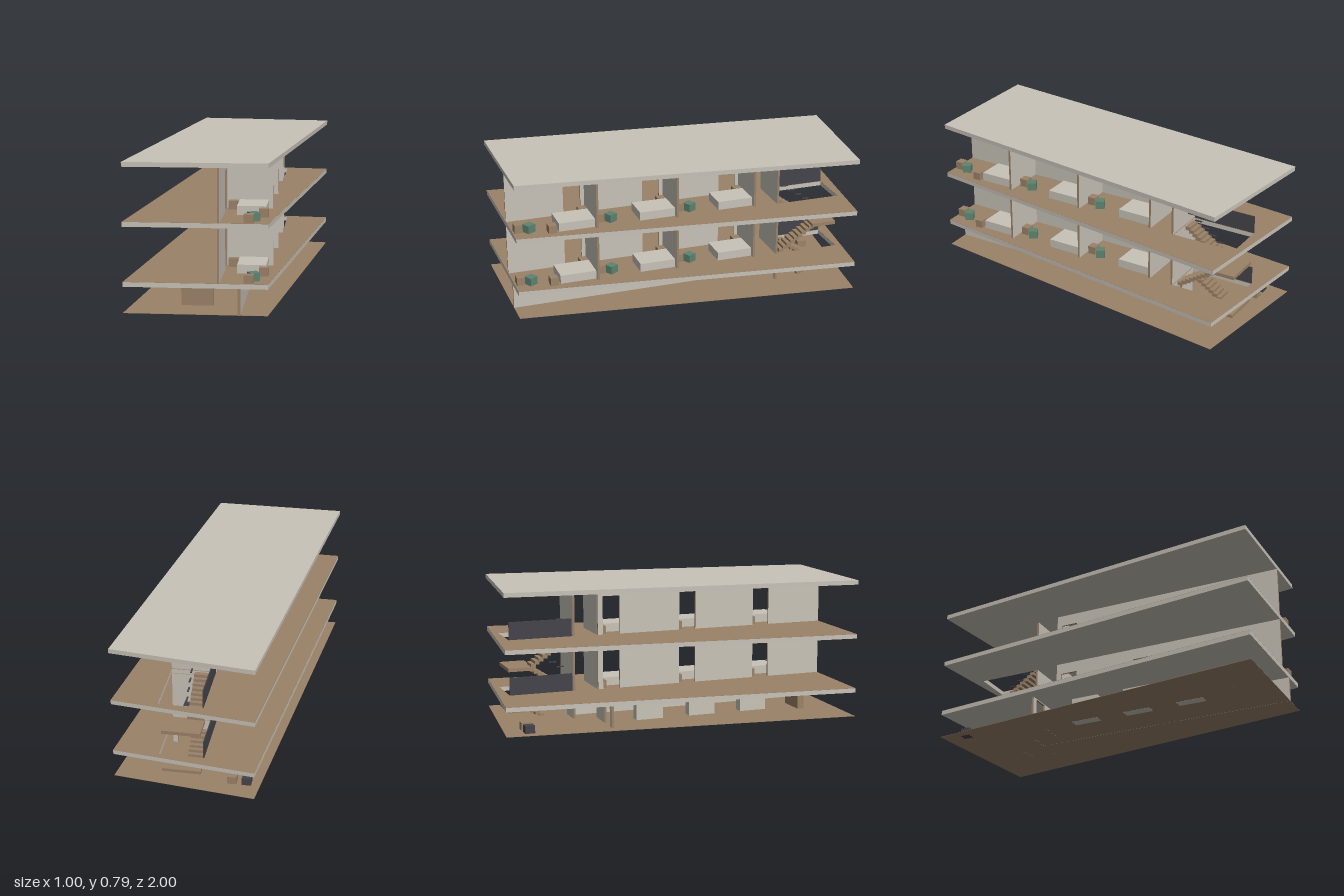
import * as THREE from 'three';

const mat = (name, color) => {
  const m = new THREE.MeshStandardMaterial({ color });
  m.name = name;
  return m;
};

export function createModel() {
  const model = new THREE.Group();
  model.name = 'building';
  const concrete = mat('concrete', 0xc8c3b8);
  const wood = mat('wood', 0x9b8268);
  const dark = mat('charcoal', 0x45444b);
  const green = mat('green', 0x5c8470);

  // Box given by its min and max on each axis
  const box = (name, m, x0, x1, y0, y1, z0, z1, parent = model) => {
    const mesh = new THREE.Mesh(new THREE.BoxGeometry(x1 - x0, y1 - y0, z1 - z0), m);
    mesh.position.set((x0 + x1) / 2, (y0 + y1) / 2, (z0 + z1) / 2);
    mesh.name = name;
    parent.add(mesh);
    return mesh;
  };

  // Skewed floor outline, optionally with the stairwell cut out
  const outline = (hole) => {
    const path = (pts, P) => new P(pts.map(([x, z]) => new THREE.Vector2(x, -z)));
    const s = path([[-0.5, 1], [0.25, 1], [0.5, -0.91], [-0.28, -1]], THREE.Shape);
    if (hole) s.holes.push(path([[0.012, -0.54], [0.012, -0.905], [0.25, -0.905], [0.25, -0.54]], THREE.Path));
    return s;
  };
  const slab = (name, y, h, hole, m) => {
    const g = new THREE.ExtrudeGeometry(outline(hole), { depth: h, bevelEnabled: false });
    const mesh = new THREE.Mesh(g.rotateX(-Math.PI / 2), m);
    mesh.position.y = y;
    mesh.name = name;
    model.add(mesh);
  };
  slab('groundFloor', 0.0005, 0.0015, false, wood);
  slab('firstSlab', 0.14, 0.025, true, concrete);
  slab('firstFloorFinish', 0.165, 0.001, true, wood);
  slab('secondSlab', 0.455, 0.025, true, concrete);
  slab('secondFloorFinish', 0.48, 0.001, true, wood);
  slab('roof', 0.765, 0.025, false, concrete);

  // Walls: plastered long faces with wooden edges; doors are [from, to] along the wall
  const alongZ = [concrete, concrete, wood, wood, wood, wood];
  const alongX = [wood, wood, wood, wood, concrete, concrete];
  const wall = (name, axis, at, thick, from, to, y0, y1, doors = [], doorH = 0.22) => {
    const group = new THREE.Group();
    group.name = name;
    model.add(group);
    const piece = (part, a, b, lo, hi) => axis === 'z'
      ? box(part, alongZ, at, at + thick, lo, hi, a, b, group)
      : box(part, alongX, a, b, lo, hi, at, at + thick, group);
    let start = from;
    for (const [a, b] of doors) {
      piece('wallPanel', start, a, y0, y1);
      if (y0 + doorH < y1) piece('lintel', a, b, y0 + doorH, y1);
      start = b;
    }
    piece('wallPanel', start, to, y0, y1);
  };

  // Two identical storeys of three rooms
  const pitch = 0.465;
  for (const y of [0.166, 0.481]) {
    const top = y + 0.289 - 0.005;
    wall('corridorWall', 'z', -0.01, 0.01, -0.39, 1, y, top,
      [2, 1, 0].map((i) => [0.57 - i * pitch, 0.67 - i * pitch]));
    for (const z of [0.536, 0.071, -0.394, -0.536]) wall('roomDivider', 'x', z, 0.012, 0, 0.25, y, top);
    for (let i = 0; i < 3; i++) {
      const z = -i * pitch;
      box('bed', concrete, 0.07, 0.225, y, y + 0.048, z + 0.55, z + 0.755);
      box('nightstand', wood, 0.01, 0.06, y, y + 0.045, z + 0.55, z + 0.595);
      box('table', wood, 0.125, 0.175, y, y + 0.045, z + 0.945, z + 0.99);
      const chair = box('chair', green, 0.1445, 0.1955, y, y + 0.045, z + 0.8845, z + 0.9355);
      chair.rotation.y = Math.atan2(0.025, 0.045);
    }
    box('sideTable', wood, 0.19, 0.24, y, y + 0.045, 0.77, 0.815);
    // Solid balustrade beside the stairwell
    box('balustrade', dark, 0.004, 0.01, y, y + 0.101, -0.905, -0.54);
  }

  // Ground storey
  wall('groundLongWall', 'z', 0.095, 0.014, -0.53, 1, 0, 0.14);
  wall('groundStairWall', 'x', -0.536, 0.012, 0.005, 0.25, 0, 0.14, [[0.135, 0.225]], 0.135);
  wall('groundRearWall', 'x', -0.4, 0.012, -0.28, -0.005, 0, 0.14, [[-0.245, -0.15]], 0.135);
  box('receptionDesk', wood, -0.22, -0.05, 0, 0.095, 0.77, 0.81);
  for (const z of [0.51, 0.19, -0.13]) box('pier', concrete, -0.155, -0.1, 0, 0.14, z - 0.08, z + 0.08);
  box('woodenStool', wood, -0.165, -0.115, 0, 0.045, -0.885, -0.83);
  box('darkStool', dark, -0.245, -0.195, 0, 0.045, -0.885, -0.83);

  // Straight flight of block steps, with optional short handrail pieces above
  const flight = (x0, x1, y0, y1, z0, z1, n, rail) => {
    const group = new THREE.Group();
    group.name = 'stairFlight';
    model.add(group);
    const dy = (y1 - y0) / n, dz = (z1 - z0) / n;
    for (let i = 0; i < n; i++) {
      const z = z0 + dz * (i + 0.5), y = y0 + dy * (i + 1);
      const half = Math.abs(dz) * 0.62;
      box('step', wood, x0, x1, Math.max(0, y - dy * 1.3), y, z - half, z + half, group);
      if (rail && i % 2 === 0) box('handrailPiece', dark, rail, rail + 0.008, y + 0.1, y + 0.106, z - 0.02, z + 0.02, group);
    }
  };
  // Lower and upper flights turn at a landing
  flight(0.14, 0.225, 0, 0.06, -0.675, -0.765, 4);
  box('landing', wood, 0.025, 0.235, 0.058, 0.075, -0.905, -0.76);
  flight(0.03, 0.12, 0.075, 0.165, -0.77, -0.63, 6);
  flight(0.14, 0.225, 0.166, 0.3, -0.56, -0.77, 9, 0.13);
  box('landing', wood, 0.025, 0.235, 0.295, 0.315, -0.905, -0.76);
  flight(0.03, 0.12, 0.315, 0.475, -0.77, -0.545, 10, 0.118);

  return model;
}
